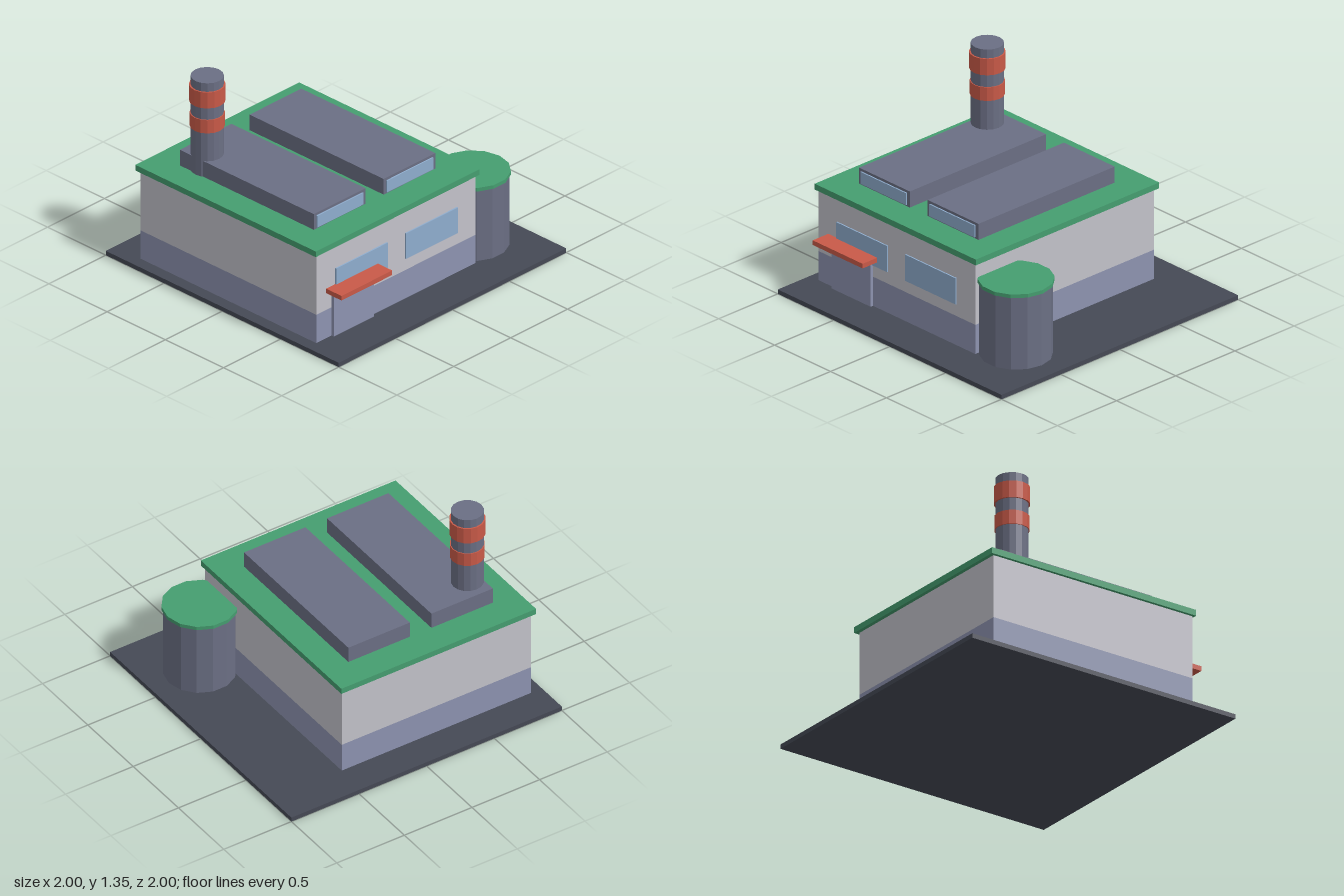
import * as THREE from 'three';

const mat = (name, color) => {
  const m = new THREE.MeshStandardMaterial({ color });
  m.name = name;
  return m;
};

export function createModel() {
  const model = new THREE.Group();
  model.name = 'factory';

  const asphalt = mat('asphalt', 0x454955);
  const plaster = mat('pale plaster', 0xc3c2ca);
  const slate = mat('blue grey', 0x8d93b0);
  const green = mat('roof green', 0x459e70);
  const metal = mat('dark metal', 0x6b6f84);
  const red = mat('red', 0xc95a48);
  const glass = mat('glass', 0x8fadce);

  // Box from its min and max on each axis
  const box = (name, material, [x0, x1], [y0, y1], [z0, z1]) => {
    const mesh = new THREE.Mesh(new THREE.BoxGeometry(x1 - x0, y1 - y0, z1 - z0), material);
    mesh.position.set((x0 + x1) / 2, (y0 + y1) / 2, (z0 + z1) / 2);
    mesh.name = name;
    model.add(mesh);
  };

  // Faceted upright drum with a corner pointing along +x
  const drum = (name, material, x, z, r, [y0, y1], sides) => {
    const geo = new THREE.CylinderGeometry(r, r, y1 - y0, sides).rotateY(Math.PI / 2).toNonIndexed();
    geo.computeVertexNormals();
    const mesh = new THREE.Mesh(geo, material);
    mesh.position.set(x, (y0 + y1) / 2, z);
    mesh.name = name;
    model.add(mesh);
  };

  // Ground slab and main hall
  box('ground', asphalt, [-1, 1], [0, 0.03], [-1, 1]);
  box('wallBase', slate, [-0.92, 0.48], [0.03, 0.23], [-0.78, 0.73]);
  box('wall', plaster, [-0.92, 0.48], [0.23, 0.65], [-0.78, 0.73]);
  box('roof', green, [-0.94, 0.5], [0.65, 0.69], [-0.805, 0.745]);

  // Two bays: roof monitor with glazed end, and a front window below
  for (const x of [-0.754, -0.14]) {
    box('roofMonitor', metal, [x, x + 0.454], [0.69, 0.8], [-0.605, 0.546]);
    box('monitorGlass', glass, [x + 0.022, x + 0.428], [0.7, 0.782], [0.546, 0.555]);
    box('window', glass, [x, x + 0.454], [0.312, 0.492], [0.73, 0.739]);
  }

  // Entrance
  box('door', slate, [-0.786, -0.435], [0.03, 0.345], [0.73, 0.75]);
  box('canopy', red, [-0.834, -0.388], [0.348, 0.38], [0.73, 0.862]);

  // Chimney with two painted collars
  drum('chimney', metal, -0.666, -0.455, 0.103, [0.69, 1.35], 16);
  drum('lowerCollar', red, -0.666, -0.455, 0.109, [1.0, 1.093], 16);
  drum('upperCollar', red, -0.666, -0.455, 0.113, [1.178, 1.29], 16);

  // Storage tank at the front corner
  drum('tank', metal, 0.645, 0.541, 0.228, [0.03, 0.525], 14);
  drum('tankLid', green, 0.645, 0.541, 0.238, [0.525, 0.55], 14);

  return model;
}
